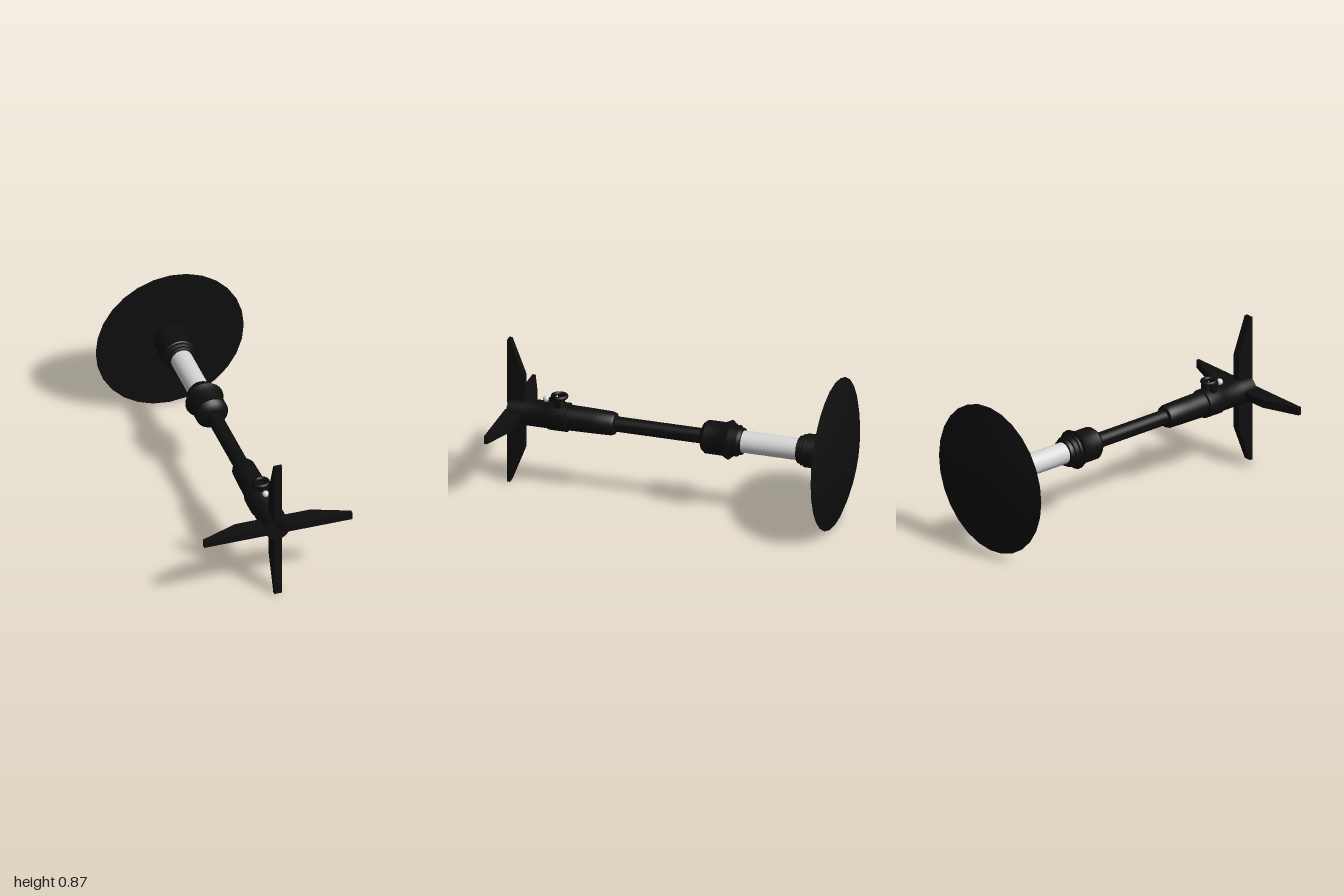
import * as THREE from 'three';
import { toCreasedNormals } from 'three/addons/utils/BufferGeometryUtils.js';

export function createModel() {
  const model = new THREE.Group();
  const black = new THREE.MeshStandardMaterial({ color: 0x0e0e0e });
  black.name = 'black';
  const white = new THREE.MeshStandardMaterial({ color: 0xd8d8d8 });
  white.name = 'lightGrey';

  // Everything is built around the z axis, then raised to stand on y = 0
  const body = new THREE.Group();
  body.name = 'body';
  body.position.y = 0.433;
  model.add(body);

  function add(name, geometry, material, x = 0, y = 0, z = 0) {
    const mesh = new THREE.Mesh(geometry, material);
    mesh.name = name;
    mesh.position.set(x, y, z);
    body.add(mesh);
    return mesh;
  }

  // Turned part: pairs of [radius, z], running from back to front on the outside
  function turned(name, profile, material, segments = 28) {
    const points = profile.map(([r, z]) => new THREE.Vector2(r, z));
    const geometry = new THREE.LatheGeometry(points, segments);
    geometry.rotateX(Math.PI / 2);
    return add(name, toCreasedNormals(geometry, 0.6), material);
  }

  // Domed dish at the back, flat towards the front
  const dome = [];
  const R = 1.087;
  for (let i = 0; i <= 10; i++) {
    const a = (i / 10) * Math.asin(0.433 / R);
    dome.push([R * Math.sin(a), R - 1 - R * Math.cos(a)]);
  }
  turned('dish', [...dome, [0, -0.91]], black);

  // Stepped socket on the dish
  turned('rearSocket', [
    [0.095, -0.92], [0.095, -0.745], [0.088, -0.74], [0.088, -0.725],
    [0.078, -0.72], [0.078, -0.705], [0.07, -0.7], [0, -0.7],
  ], black);

  // Light rod between the socket and the collar
  turned('rod', [[0, -0.73], [0.062, -0.73], [0.062, -0.355], [0, -0.355]], white);

  // Collar with a flared rim, hollow
  turned('collar', [
    [0.04, -0.375], [0.075, -0.375], [0.08, -0.355], [0.088, -0.35], [0.088, -0.325],
    [0.096, -0.32], [0.096, -0.305], [0.112, -0.3], [0.094, -0.265], [0.094, -0.165],
    [0.078, -0.145], [0.045, -0.13], [0.04, -0.13],
  ], black);

  // Hollow barrel; its bore shows the end of the rod
  turned('barrel', [
    [0.043, -0.15], [0.043, 0.365], [0.06, 0.372], [0.067, 0.39], [0.07, 0.5],
    [0.072, 0.64], [0.082, 0.645], [0.082, 0.75], [0.076, 0.76], [0.076, 0.9],
    [0.07, 0.99], [0.04, 0.99], [0.04, -0.34],
  ], black);

  // Four tapered fins at the front
  const finShape = new THREE.Shape();
  [[0.05, 0.9], [0.22, 0.9], [0.433, 0.982], [0.433, 1], [0.05, 1]]
    .forEach(([r, z], i) => (i ? finShape.lineTo(r, z) : finShape.moveTo(r, z)));
  const finGeometry = new THREE.ExtrudeGeometry(finShape, { depth: 0.046, bevelEnabled: false });
  finGeometry.translate(0, 0, -0.023);
  finGeometry.rotateX(Math.PI / 2);
  for (let i = 0; i < 4; i++) {
    add('fin', finGeometry, black).rotation.z = (i * Math.PI) / 2;
  }

  // Ring latch on top, held by two posts, with a lever and a knob
  const ring = add('latchRing', new THREE.TorusGeometry(0.038, 0.012, 8, 20), black, 0, 0.122, 0.7);
  ring.rotation.x = Math.PI / 2;
  for (const side of [-1, 1]) {
    add('latchPost', new THREE.BoxGeometry(0.018, 0.06, 0.035), black, side * 0.038, 0.095, 0.7);
  }
  add('latchBase', new THREE.CylinderGeometry(0.03, 0.035, 0.03, 16), black, 0, 0.085, 0.7);
  add('latchLever', new THREE.BoxGeometry(0.016, 0.016, 0.06), black, 0, 0.096, 0.745);
  add('latchKnob', new THREE.SphereGeometry(0.019, 16, 12), white, 0, 0.096, 0.777);

  return model;
}
